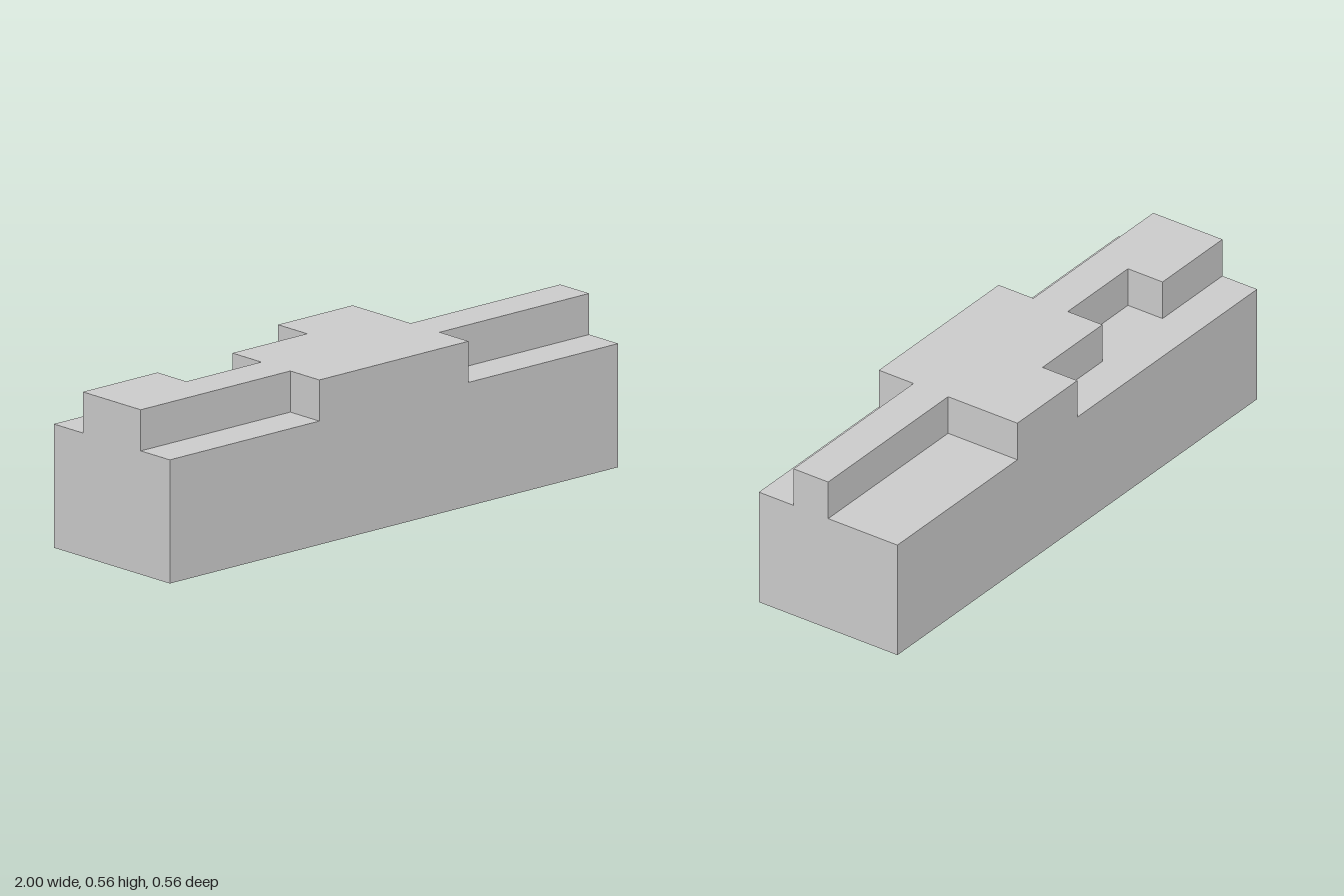
import * as THREE from 'three';

const D = 0.2825;      // half depth
const H = 0.565;       // full height
const STEP = 0.424;    // height of the lower ledges
const B = 0.333, C = 0.667, N = 0.141;

const material = new THREE.MeshStandardMaterial({
  color: 0xcccccc, flatShading: true, side: THREE.DoubleSide,
});

// Vertical walls along a closed outline of [x, v] points, where v = -z
function walls(name, outline, y0, y1) {
  const pos = [];
  outline.forEach(([ax, av], i) => {
    const [bx, bv] = outline[(i + 1) % outline.length];
    pos.push(ax, y0, -av, bx, y0, -bv, bx, y1, -bv);
    pos.push(ax, y0, -av, bx, y1, -bv, ax, y1, -av);
  });
  const geometry = new THREE.BufferGeometry();
  geometry.setAttribute('position', new THREE.Float32BufferAttribute(pos, 3));
  geometry.computeVertexNormals();
  const mesh = new THREE.Mesh(geometry, material);
  mesh.name = name;
  return mesh;
}

// Flat upward-facing surface filling an outline
function deck(name, outline, y) {
  const shape = new THREE.Shape(outline.map(([x, v]) => new THREE.Vector2(x, v)));
  const geometry = new THREE.ShapeGeometry(shape);
  geometry.rotateX(-Math.PI / 2);
  geometry.translate(0, y, 0);
  const mesh = new THREE.Mesh(geometry, material);
  mesh.name = name;
  return mesh;
}

const rect = (x0, x1, v0, v1) => [[x0, v0], [x1, v0], [x1, v1], [x0, v1]];

export function createModel() {
  const group = new THREE.Group();
  group.name = 'steppedBlock';

  // Outer walls of the lower block, open underneath
  group.add(walls('baseWalls', rect(-1, 1, -D, D), 0, STEP));

  // Raised plateau with its notched outline
  const plateau = [
    [-1, -N], [-B, -N], [-B, -D], [B, -D], [B, -N], [1, -N], [1, 0], [B, 0],
    [B, D], [0, D], [0, N], [-B, N], [-B, 0], [-C, 0], [-C, N], [-1, N],
  ];
  group.add(walls('plateauWalls', plateau, STEP, H));
  group.add(deck('plateauTop', plateau, H));

  // Lower ledges around the plateau
  group.add(deck('frontRightLedge', rect(-1, -B, -D, -N), STEP));
  group.add(deck('frontLeftLedge', rect(B, 1, -D, -N), STEP));
  group.add(deck('backLeftLedge', rect(B, 1, 0, D), STEP));
  group.add(deck('backRightLedge', [
    [-1, N], [-C, N], [-C, 0], [-B, 0], [-B, N], [0, N], [0, D], [-1, D],
  ], STEP));

  return group;
}
